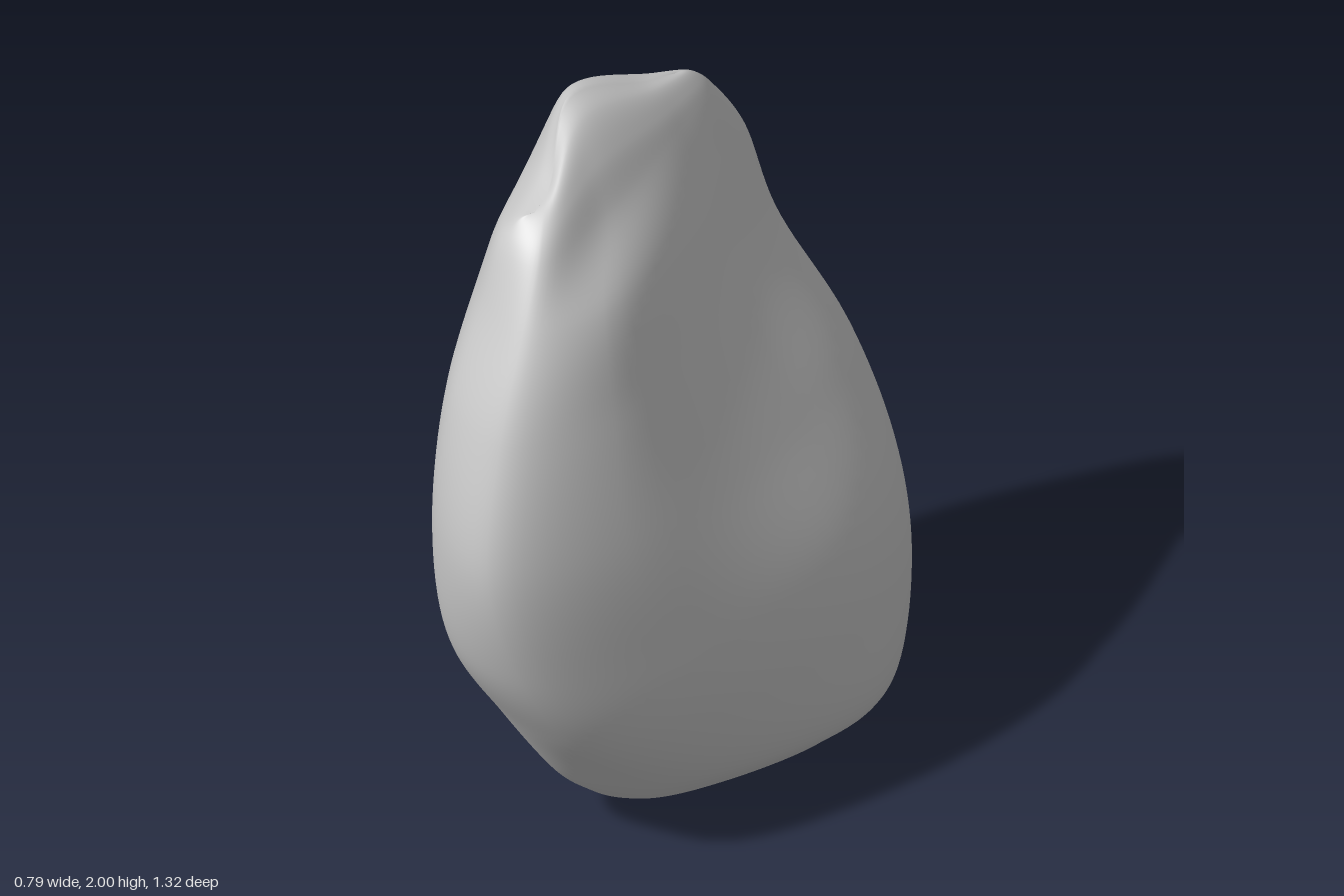
import * as THREE from 'three';
import { mergeVertices } from 'three/addons/utils/BufferGeometryUtils.js';

// Cross-sections: height, then x,z of eight rails running
// front, front +x, +x side, back +x, back, back -x, -x side, front -x
const SECTIONS = [
  [0.10, 0.03, 0.19, 0.15, 0.11, 0.215, -0.10, 0.21, -0.42, 0.13, -0.54, 0.00, -0.43, -0.13, -0.14, -0.09, 0.07],
  [0.20, 0.07, 0.28, 0.21, 0.18, 0.30, -0.08, 0.29, -0.45, 0.17, -0.59, -0.02, -0.47, -0.18, -0.11, -0.11, 0.15],
  [0.45, 0.08, 0.44, 0.29, 0.37, 0.365, 0.04, 0.31, -0.45, 0.15, -0.65, -0.08, -0.52, -0.25, -0.12, -0.13, 0.29],
  [0.72, 0.08, 0.585, 0.31, 0.53, 0.385, 0.17, 0.29, -0.42, 0.08, -0.665, -0.17, -0.52, -0.315, -0.09, -0.15, 0.35],
  [1.05, 0.08, 0.63, 0.31, 0.625, 0.385, 0.27, 0.21, -0.30, -0.02, -0.605, -0.26, -0.44, -0.40, -0.03, -0.17, 0.37],
  [1.40, 0.07, 0.585, 0.285, 0.575, 0.335, 0.28, 0.09, -0.22, -0.12, -0.46, -0.28, -0.30, -0.36, 0.00, -0.17, 0.33],
  [1.65, 0.06, 0.49, 0.24, 0.485, 0.27, 0.27, 0.02, -0.17, -0.15, -0.395, -0.24, -0.28, -0.275, 0.02, -0.14, 0.29],
  [1.80, 0.07, 0.445, 0.19, 0.41, 0.13, 0.18, -0.03, -0.14, -0.14, -0.305, -0.20, -0.20, -0.23, 0.05, -0.09, 0.28],
];
// Lines from front to back where the two sides meet
const CREST = [[0.11, 1.885, 0.37], [0.07, 1.905, 0.3], [-0.08, 2, 0.14], [-0.115, 1.915, -0.1], [-0.13, 1.885, -0.19]];
const KEEL = [[0.04, 0.005, 0], [0.03, 0, -0.07], [0.04, 0, -0.2], [0.07, 0, -0.36], [0.08, 0.005, -0.43]];

const COLS = 96, ROWS = 120;

// Closed ring that runs along a line and back again
const slit = (line) => [0, 1, 2, 3, 4, 3, 2, 1].map((i) => new THREE.Vector3(...line[i]));

// Ring rounded over from a section towards its closing line
function roundOver(ring, end, s) {
  return ring.map((p, i) => {
    const q = p.clone().lerp(end[i], s);
    q.y = THREE.MathUtils.lerp(p.y, end[i].y, 1 - (1 - s) ** 2);
    return q;
  });
}

function stoneGeometry() {
  const body = SECTIONS.map(([y, ...v]) =>
    Array.from({ length: 8 }, (_, i) => new THREE.Vector3(v[2 * i], y, v[2 * i + 1])));
  const crest = slit(CREST), keel = slit(KEEL), first = body[0], last = body[body.length - 1];
  const rings = [
    keel, roundOver(first, keel, 0.65), roundOver(first, keel, 0.3),
    ...body,
    roundOver(last, crest, 0.3), roundOver(last, crest, 0.65), crest,
  ];
  const rails = crest.map((_, i) => new THREE.CatmullRomCurve3(rings.map((r) => r[i])));

  const positions = [], index = [];
  for (let r = 0; r <= ROWS; r++) {
    const ring = new THREE.CatmullRomCurve3(rails.map((c) => c.getPoint(r / ROWS)), true);
    for (let c = 0; c < COLS; c++) positions.push(...ring.getPoint(c / COLS).toArray());
  }
  for (let r = 0; r < ROWS; r++) {
    for (let c = 0; c < COLS; c++) {
      const a = r * COLS + c, b = r * COLS + (c + 1) % COLS;
      index.push(a, b, a + COLS, b, b + COLS, a + COLS);
    }
  }
  const geo = new THREE.BufferGeometry();
  geo.setAttribute('position', new THREE.Float32BufferAttribute(positions, 3));
  geo.setIndex(index);
  const welded = mergeVertices(geo, 1e-4); // join the sides at crest and keel
  welded.computeVertexNormals();
  return welded;
}

export function createModel() {
  const group = new THREE.Group();
  group.name = 'standingStone';
  const stone = new THREE.Mesh(stoneGeometry(), new THREE.MeshStandardMaterial({ color: 0xcccccc }));
  stone.name = 'stone';
  group.add(stone);
  return group;
}
